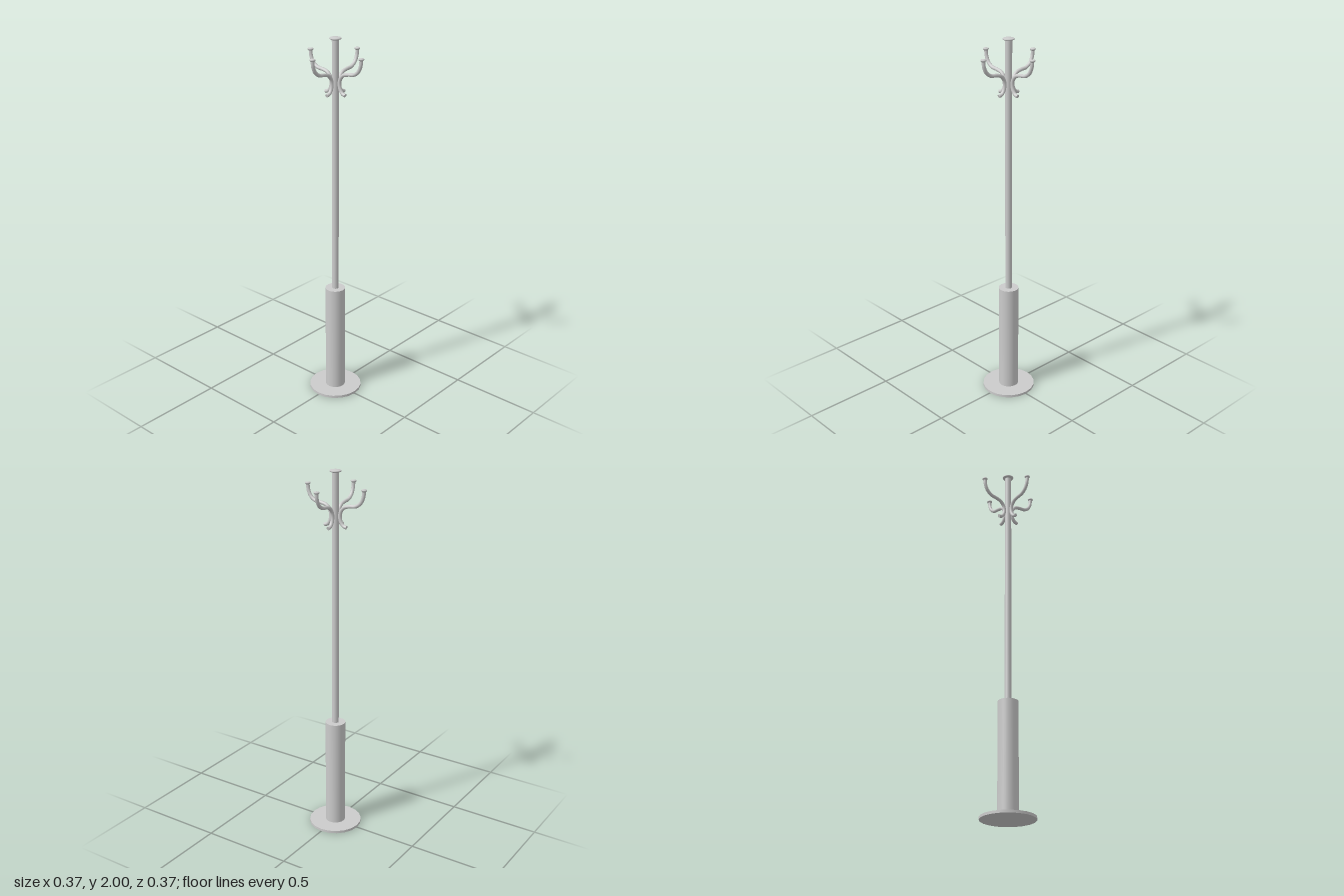
import * as THREE from 'three';

const material = new THREE.MeshStandardMaterial({ color: 0xcccccc });

function part(name, geometry, parent, x = 0, y = 0) {
  const mesh = new THREE.Mesh(geometry, material);
  mesh.name = name;
  mesh.position.set(x, y, 0);
  parent.add(mesh);
  return mesh;
}

// upright cylinder standing between two heights
function post(name, radius, bottom, top, sides, parent, x = 0) {
  const geometry = new THREE.CylinderGeometry(radius, radius, top - bottom, sides);
  return part(name, geometry, parent, x, (bottom + top) / 2);
}

// small domed button, profile turned about its own axis
function buttonGeometry(radius, height) {
  const profile = [[0, 0], [0.6, 0], [0.95, 0.35], [1, 0.6], [0.9, 0.85], [0, 1]];
  return new THREE.LatheGeometry(
    profile.map(([r, h]) => new THREE.Vector2(r * radius, h * height)), 20);
}

// S-shaped arm: upper coat hook flowing into a short lower hook
function createHook() {
  const hook = new THREE.Group();
  hook.name = 'hook';
  const path = new THREE.CatmullRomCurve3([
    [0.168, 1.912], [0.164, 1.88], [0.148, 1.848], [0.12, 1.829], [0.085, 1.824],
    [0.053, 1.815], [0.033, 1.793], [0.027, 1.765], [0.033, 1.738],
    [0.047, 1.72], [0.066, 1.714],
  ].map(([x, y]) => new THREE.Vector3(x, y, 0)));
  const radius = 0.0095;
  part('hookArm', new THREE.TubeGeometry(path, 48, radius, 12), hook);
  part('hookTip', buttonGeometry(0.015, 0.014), hook, 0.168, 1.907);

  // closes the lower end, facing along the arm
  const end = part('lowerHookEnd', new THREE.CircleGeometry(radius, 12), hook);
  end.position.copy(path.getPoint(1));
  end.quaternion.setFromUnitVectors(new THREE.Vector3(0, 0, 1), path.getTangent(1));
  return hook;
}

export function createModel() {
  const stand = new THREE.Group();
  stand.name = 'coatStand';

  // foot, weighted column and slim pole
  post('basePlate', 0.144, 0, 0.014, 20, stand);
  post('lowerColumn', 0.054, 0.014, 0.62, 32, stand);
  post('pole', 0.018, 0.62, 1.99, 24, stand);
  part('poleCap', buttonGeometry(0.031, 0.014), stand, 0, 1.986);

  // four hooks around the pole
  for (let i = 0; i < 4; i++) {
    const hook = createHook();
    hook.rotation.y = i * Math.PI / 2;
    stand.add(hook);
  }
  return stand;
}
